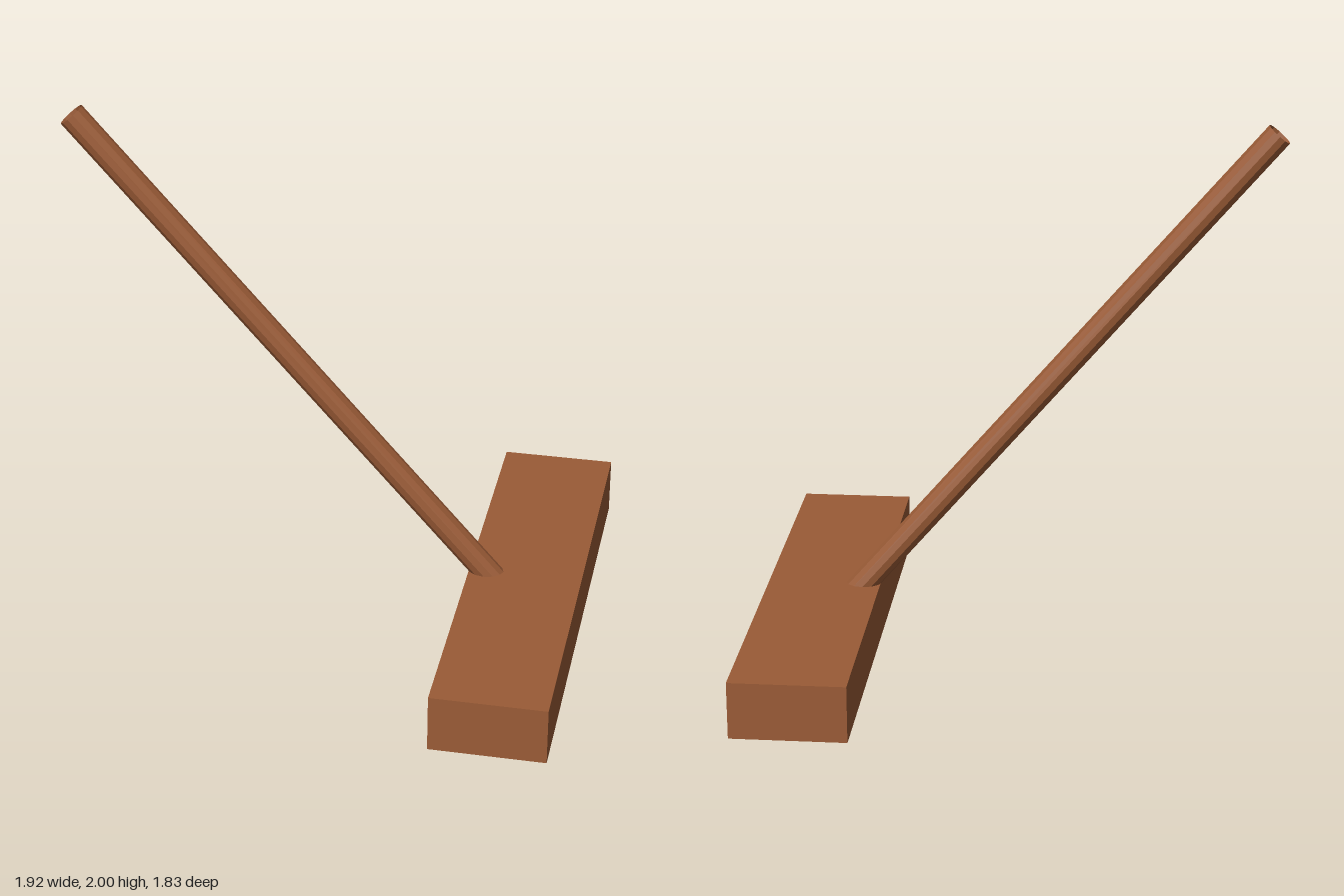
import * as THREE from 'three';

export function createModel() {
  const group = new THREE.Group();
  const wood = new THREE.MeshStandardMaterial({
    color: 0x9a5b36, flatShading: true, side: THREE.DoubleSide,
  });

  // Long rectangular head resting on the ground
  const head = new THREE.Mesh(new THREE.BoxGeometry(0.425, 0.215, 1.83), wood);
  head.name = 'head';
  head.position.set(0.747, 0.1075, 0);
  group.add(head);

  // Slanted open-ended tube handle, sunk a little into the head
  const top = new THREE.Vector3(-0.922, 1.969, 0.112);
  const bottom = new THREE.Vector3(0.68, 0.12, 0.014);
  const axis = top.clone().sub(bottom);
  const handle = new THREE.Mesh(
    new THREE.CylinderGeometry(0.05, 0.05, axis.length(), 12, 1, true), wood);
  handle.name = 'handle';
  handle.position.copy(top).add(bottom).multiplyScalar(0.5);
  handle.quaternion.setFromUnitVectors(new THREE.Vector3(0, 1, 0), axis.normalize());
  group.add(handle);

  return group;
}
